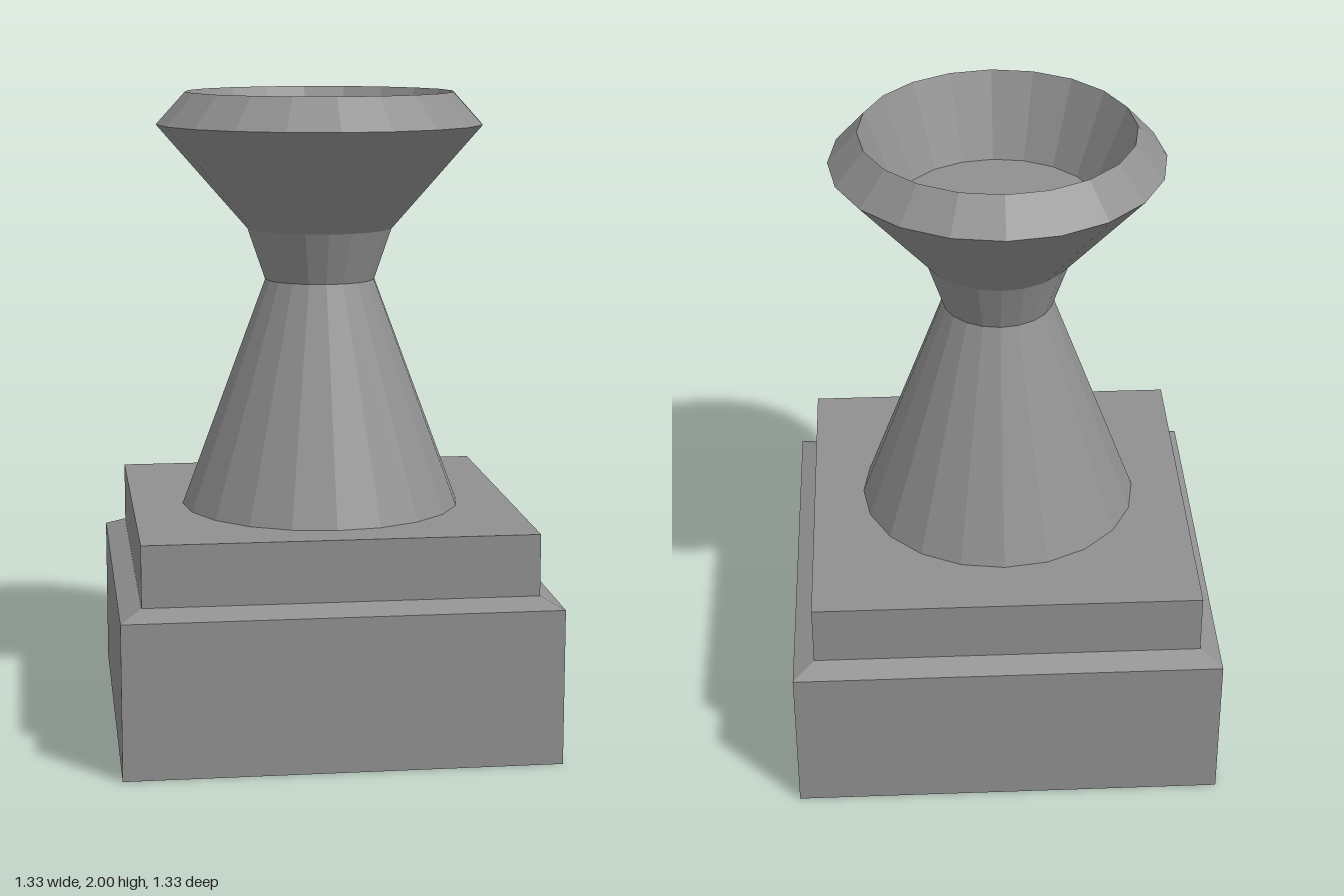
import * as THREE from 'three';

export function createModel() {
  const model = new THREE.Group();
  const stone = new THREE.MeshStandardMaterial({ color: 0x909090, flatShading: true });
  stone.name = 'grey stone';

  // Turns a profile of [radius, height] points, listed from bottom to top
  const turn = (name, profile, sides) => {
    const points = profile.map(([r, y]) => new THREE.Vector2(r, y));
    const mesh = new THREE.Mesh(new THREE.LatheGeometry(points, sides), stone);
    mesh.name = name;
    model.add(mesh);
    return mesh;
  };

  // Square stepped pedestal: a four-sided turning, half-widths scaled to corners
  const steps = [[0, 0], [0.665, 0], [0.665, 0.48], [0.6, 0.51], [0.6, 0.7], [0, 0.7]];
  const pedestal = turn('pedestal', steps.map(([w, y]) => [w * Math.SQRT2, y]), 4);
  pedestal.rotation.y = Math.PI / 4;

  // Tapered column, set slightly forward of centre
  const column = turn('column', [[0.44, 0.7], [0.173, 1.415]], 20);

  // Flared bowl with a bevelled rim and a flat floor inside
  const bowl = turn('bowl', [
    [0.173, 1.415], [0.228, 1.575], [0.511, 1.9], [0.42, 2], [0.315, 1.74], [0, 1.74],
  ], 20);

  for (const part of [column, bowl]) part.position.z = 0.036;
  return model;
}
